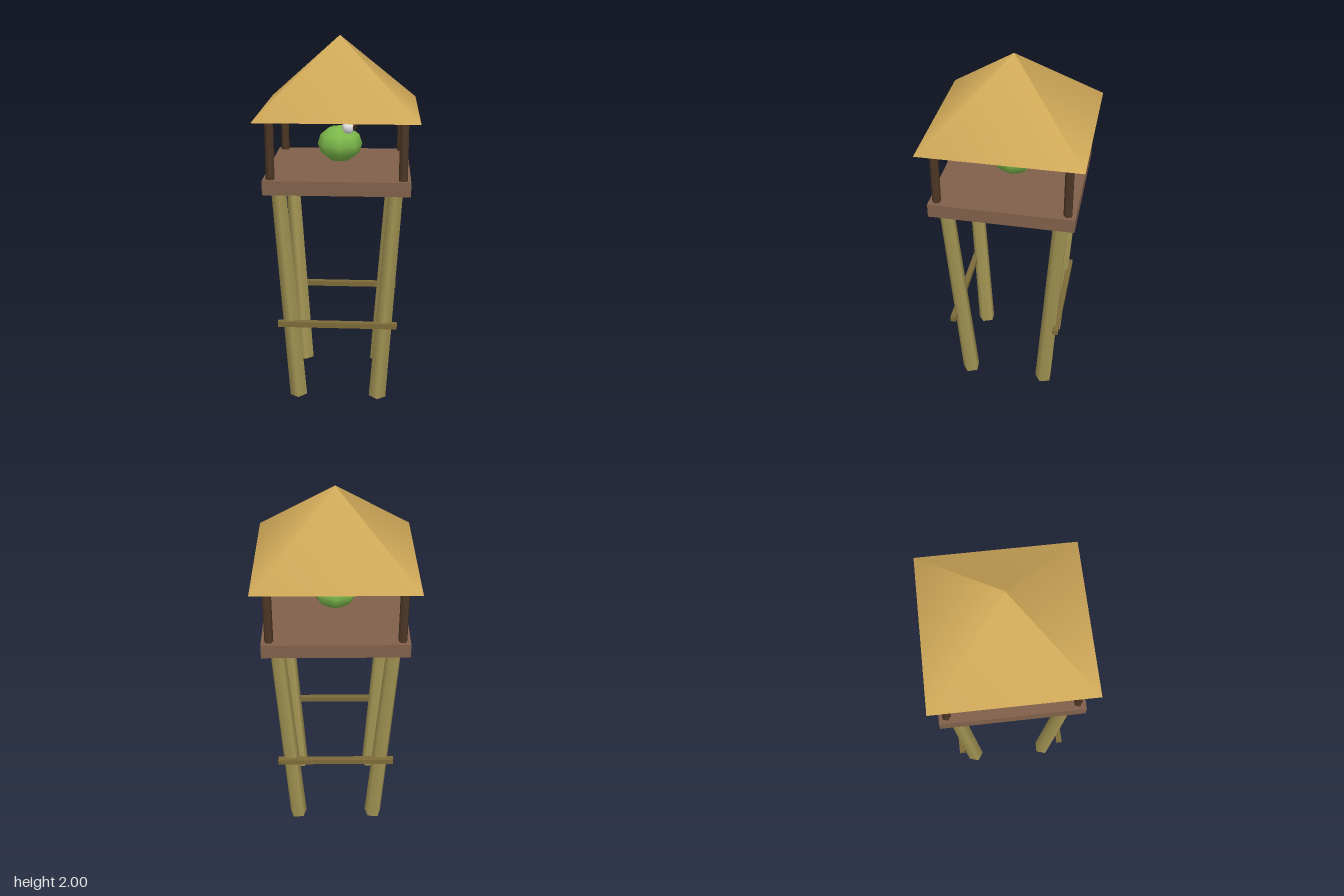
import * as THREE from 'three';

const mat = (name, color) => {
  const m = new THREE.MeshStandardMaterial({ color });
  m.name = name;
  return m;
};

export function createModel() {
  const thatch = mat('thatch', 0xcfa858);
  const plank = mat('plank brown', 0x80604a);
  const darkWood = mat('dark wood', 0x4f3826);
  const bamboo = mat('bamboo', 0xa59655);
  const brace = mat('brace wood', 0x7d6a38);
  const green = mat('green', 0x7cb84a);
  const white = mat('eye white', 0xe8e8e8);
  const pupil = mat('pupil dark', 0x33261e);

  const model = new THREE.Group();
  model.name = 'watchtower';
  const add = (name, geometry, material, x, y, z) => {
    const mesh = new THREE.Mesh(geometry, material);
    mesh.name = name;
    mesh.position.set(x, y, z);
    model.add(mesh);
    return mesh;
  };

  // Splayed legs and upright roof posts at the four corners
  const legShape = new THREE.CylinderGeometry(0.04, 0.05, 1.3, 5);
  const postShape = new THREE.CylinderGeometry(0.024, 0.024, 0.32, 5);
  for (const sx of [-1, 1]) {
    for (const sz of [-1, 1]) {
      const leg = add('leg', legShape, bamboo, sx * 0.265, 0.653, sz * 0.265);
      leg.rotation.set(sz * 0.064, 0, -sx * 0.064);
      add('roofPost', postShape, darkWood, sx * 0.34, 1.455, sz * 0.34);
    }
  }

  // Cross braces on the front and back
  for (const sz of [-1, 1]) {
    add('crossBrace', new THREE.BoxGeometry(0.65, 0.03, 0.032), brace, 0, 0.473, sz * 0.295);
  }

  // Platform and pyramid roof
  add('platform', new THREE.BoxGeometry(0.76, 0.075, 0.76), plank, 0, 1.267, 0);
  const roofShape = new THREE.ConeGeometry(0.42 * Math.SQRT2, 0.39, 4);
  roofShape.rotateY(Math.PI / 4);
  add('roof', roofShape, thatch, 0, 1.805, 0);

  // Squat round lookout whose eyes face +x
  const body = add('lookoutBody', new THREE.SphereGeometry(0.122, 8, 6), green, 0, 1.42, 0);
  body.scale.y = 0.82;
  for (const sz of [-1, 1]) {
    add('eye', new THREE.SphereGeometry(0.036, 6, 5), white, 0.048, 1.52, sz * 0.057);
    add('pupil', new THREE.SphereGeometry(0.019, 6, 5), pupil, 0.077, 1.52, sz * 0.057);
  }

  return model;
}
